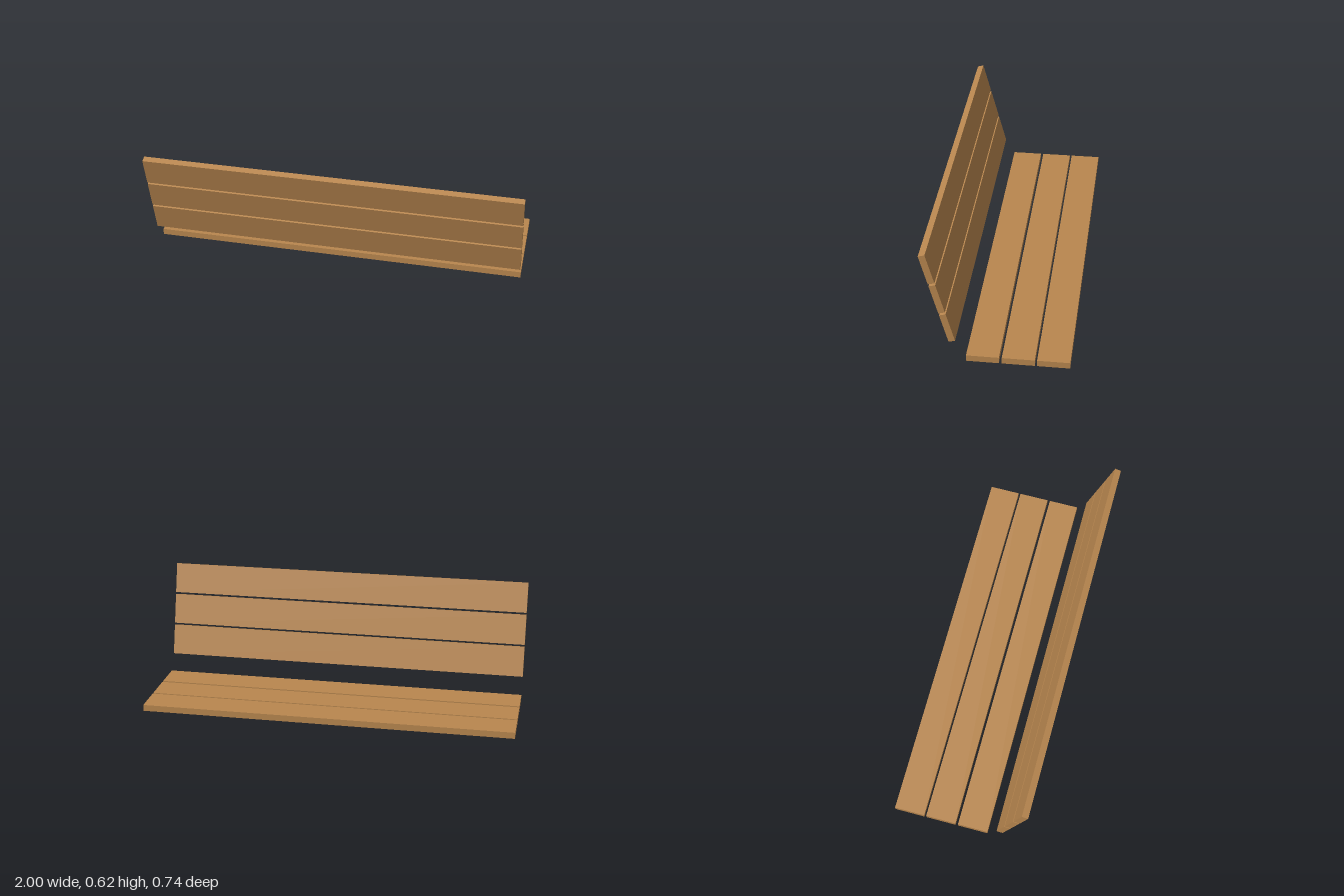
import * as THREE from 'three';

const LENGTH = 2, WIDTH = 0.165, THICK = 0.034;

export function createModel() {
  const bench = new THREE.Group();
  bench.name = 'bench';
  const wood = new THREE.MeshStandardMaterial({ color: 0xb9874f });
  wood.name = 'wood';
  const plank = new THREE.BoxGeometry(LENGTH, THICK, WIDTH);

  const addSlat = (parent, name, y, z) => {
    const slat = new THREE.Mesh(plank, wood);
    slat.name = name;
    slat.position.set(0, y, z);
    parent.add(slat);
  };

  // Flat seat of three long planks
  const seat = new THREE.Group();
  seat.name = 'seat';
  [0.069, -0.11, -0.286].forEach((z, i) => addSlat(seat, `seatSlat${i + 1}`, THICK / 2, z));
  bench.add(seat);

  // Backrest of three planks in one plane, reclined 15 degrees from upright
  const backrest = new THREE.Group();
  backrest.name = 'backrest';
  backrest.position.set(0, 0.367, 0.287);
  backrest.rotation.x = THREE.MathUtils.degToRad(15 - 90);
  [-1, 0, 1].forEach((k, i) => addSlat(backrest, `backSlat${i + 1}`, 0, -k * 0.177));
  // The group's local +z points down the slope, so flip it to lean toward +z at the top
  backrest.rotation.x = THREE.MathUtils.degToRad(90 + 15);
  bench.add(backrest);

  return bench;
}
